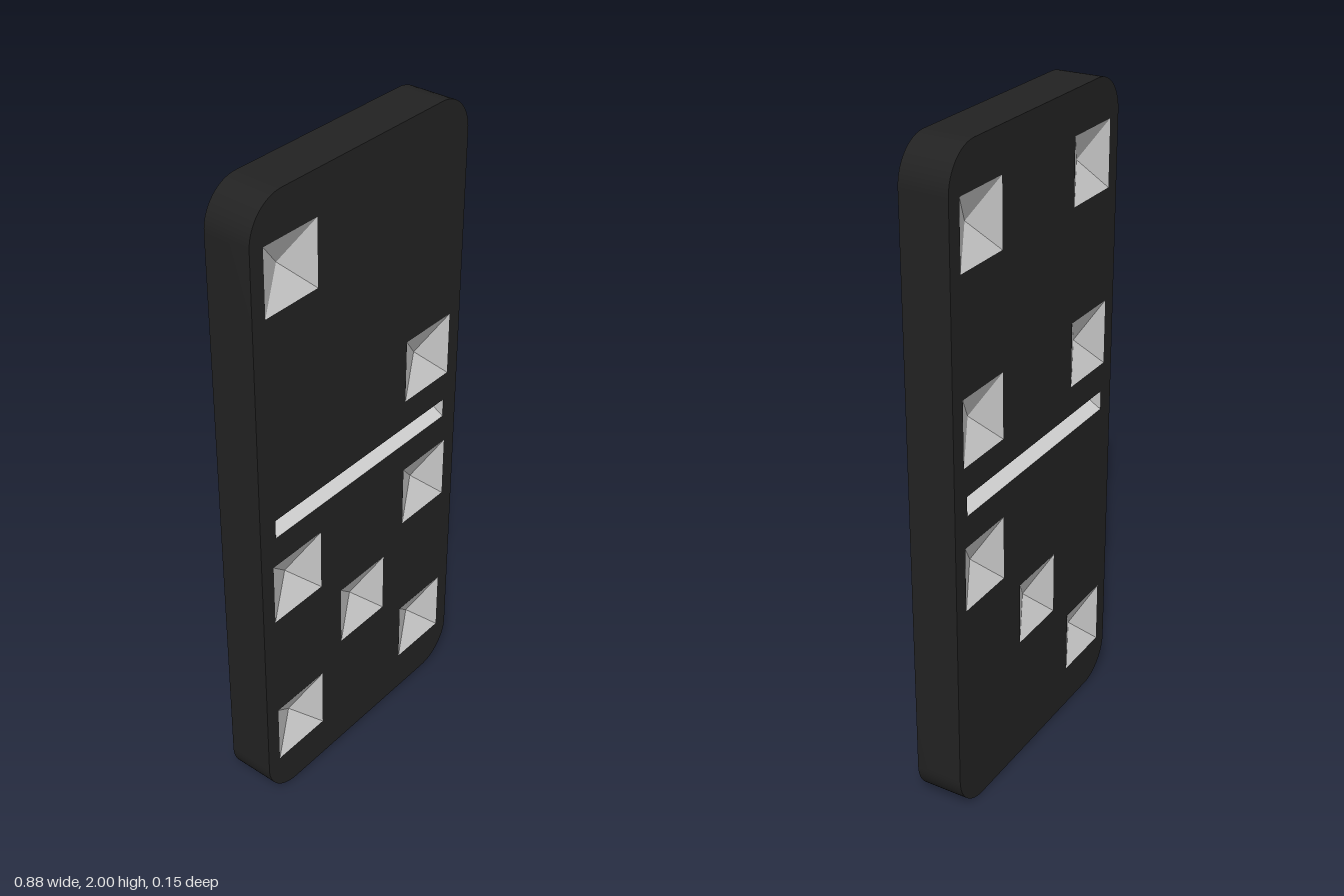
import * as THREE from 'three';
import { toCreasedNormals } from 'three/addons/utils/BufferGeometryUtils.js';

const W = 0.438, H = 2, T = 0.073, R = 0.12;   // half width, height, half thickness, corner radius
const PIP = 0.1, DEPTH = 0.05;                 // half size and depth of the recesses
const SLOT = { x: 0.377, y: 1.005, h: 0.03 };
const COL = 0.29, ROWS = [0.235, 0.505, 0.78, 1.225, 1.77];

const black = new THREE.MeshStandardMaterial({ color: 0x222222 });
const light = new THREE.MeshStandardMaterial({ color: 0xcccccc, flatShading: true });

function named(name, geometry, material) {
  const mesh = new THREE.Mesh(geometry, material);
  mesh.name = name;
  return mesh;
}

function outline() {
  const s = new THREE.Shape();
  s.moveTo(-W + R, 0);
  s.lineTo(W - R, 0);
  s.absarc(W - R, R, R, -Math.PI / 2, 0);
  s.absarc(W - R, H - R, R, 0, Math.PI / 2);
  s.absarc(-W + R, H - R, R, Math.PI / 2, Math.PI);
  s.absarc(-W + R, R, R, Math.PI, Math.PI * 1.5);
  return s;
}

function rectHole(x, y, hw, hh) {
  const p = new THREE.Path();
  p.moveTo(x - hw, y - hh);
  p.lineTo(x - hw, y + hh);
  p.lineTo(x + hw, y + hh);
  p.lineTo(x + hw, y - hh);
  p.closePath();
  return p;
}

function fromTriangles(points, faces) {
  const g = new THREE.BufferGeometry();
  g.setAttribute('position', new THREE.Float32BufferAttribute(points.flat(), 3));
  g.setIndex(faces.flat());
  const flat = g.toNonIndexed();
  flat.computeVertexNormals();
  return flat;
}

// Rim: the rounded outline swept from back to front
function rimGeometry() {
  const pts = outline().getPoints(8);
  const points = [], faces = [];
  pts.forEach((p, i) => {
    points.push([p.x, p.y, -T], [p.x, p.y, T]);
    const a = 2 * i, b = 2 * ((i + 1) % pts.length);
    faces.push([a, b, b + 1], [a, b + 1, a + 1]);
  });
  return toCreasedNormals(fromTriangles(points, faces), 0.5);
}

// Pip: a square pyramid sunk into the face
const pipGeometry = fromTriangles(
  [[-PIP, -PIP, 0], [PIP, -PIP, 0], [PIP, PIP, 0], [-PIP, PIP, 0], [0, 0, -DEPTH]],
  [[0, 1, 4], [1, 2, 4], [2, 3, 4], [3, 0, 4]]);

// Divider: a V-shaped groove with upright ends
const { x: sx, h: sh } = SLOT;
const grooveGeometry = fromTriangles(
  [[-sx, -sh, 0], [sx, -sh, 0], [sx, sh, 0], [-sx, sh, 0], [-sx, 0, -DEPTH], [sx, 0, -DEPTH]],
  [[0, 1, 5], [0, 5, 4], [2, 3, 4], [2, 4, 5], [1, 2, 5], [3, 0, 4]]);

// One face of the tile, with its holes and the recesses that fill them
function tileFace(name, pips) {
  const group = new THREE.Group();
  group.name = name;
  const shape = outline();
  shape.holes.push(rectHole(0, SLOT.y, SLOT.x, SLOT.h));
  const groove = named('dividerGroove', grooveGeometry, light);
  groove.position.set(0, SLOT.y, T);
  group.add(groove);
  for (const [col, row] of pips) {
    const x = col * COL, y = ROWS[row];
    shape.holes.push(rectHole(x, y, PIP, PIP));
    const pip = named('pip', pipGeometry, light);
    pip.position.set(x, y, T);
    group.add(pip);
  }
  const plate = named('facePlate', new THREE.ShapeGeometry(shape, 8), black);
  plate.position.z = T;
  group.add(plate);
  return group;
}

export function createModel() {
  const tile = new THREE.Group();
  tile.name = 'dominoTile';
  tile.add(named('rim', rimGeometry(), black));

  // Pips as [column, row], seen facing each side
  const front = tileFace('frontFace',
    [[-1, 0], [1, 0], [0, 1], [-1, 2], [1, 2], [1, 3], [-1, 4]]);
  const back = tileFace('backFace',
    [[1, 0], [0, 1], [-1, 2], [-1, 3], [1, 3], [-1, 4], [1, 4]]);
  back.rotation.y = Math.PI;
  tile.add(front, back);
  return tile;
}
